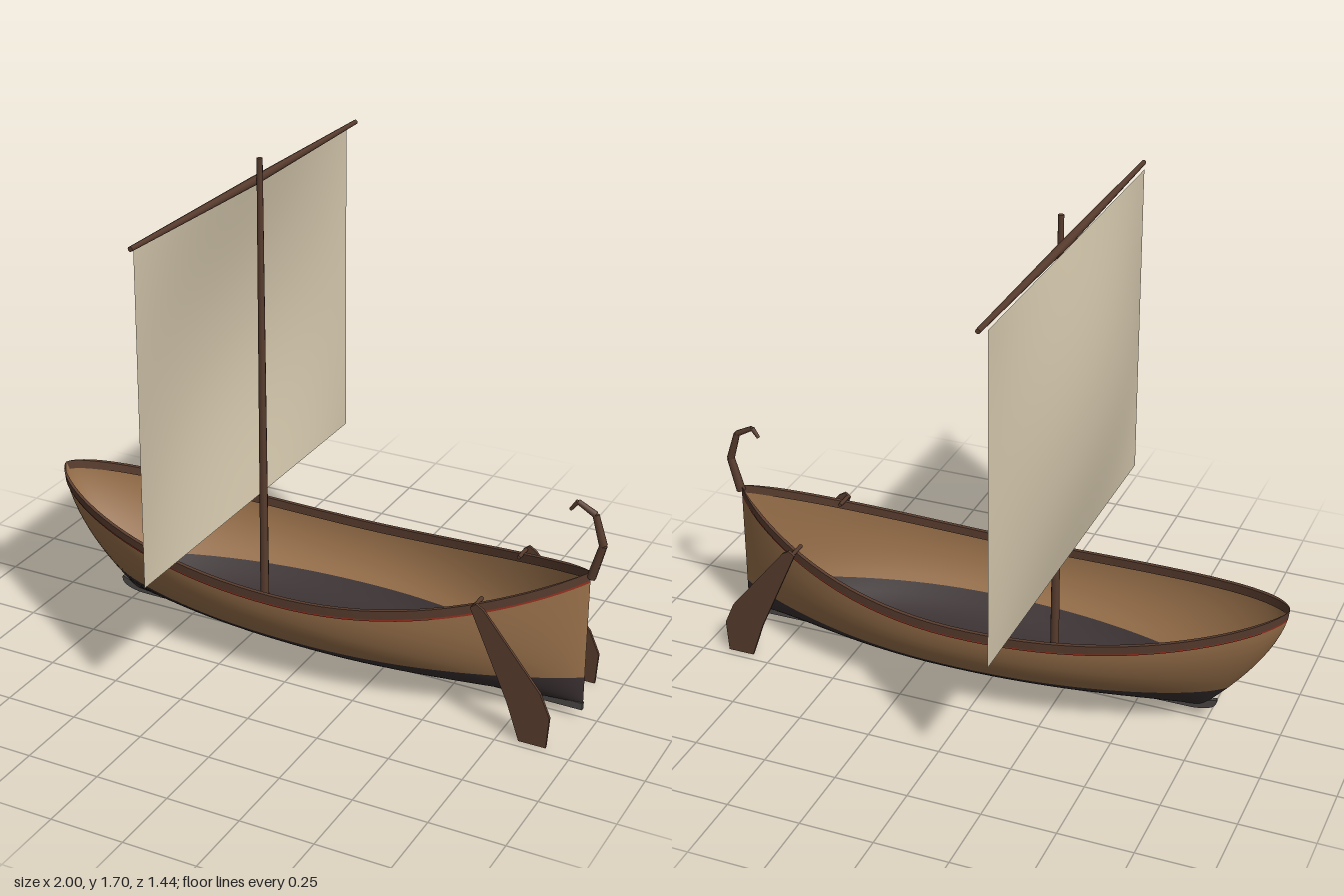
import * as THREE from 'three';

const flat = (name, color) => {
  const m = new THREE.MeshStandardMaterial({ color, side: THREE.DoubleSide });
  m.name = name;
  return m;
};

export function createModel() {
  const planks = flat('plank brown', 0x98704a);
  const tar = flat('tarred black', 0x3a3031);
  const wood = flat('dark wood', 0x583c2e);
  const red = flat('red trim', 0x97301f);
  const canvas = flat('sail canvas', 0xd6c9ae);
  const keelGrey = flat('keel grey', 0x4c4747);

  const model = new THREE.Group();
  model.name = 'sailingBoat';
  const add = (name, geometry, material, parent = model) => {
    const mesh = new THREE.Mesh(geometry, material);
    mesh.name = name;
    parent.add(mesh);
    return mesh;
  };

  // Grid surface: point(u, v) gives a Vector3 for u and v in 0..1
  const surface = (point, nu, nv) => {
    const pos = [], idx = [];
    for (let j = 0; j <= nv; j++)
      for (let i = 0; i <= nu; i++) pos.push(...point(i / nu, j / nv).toArray());
    for (let j = 0; j < nv; j++)
      for (let i = 0; i < nu; i++) {
        const a = j * (nu + 1) + i, b = a + nu + 1;
        idx.push(a, a + 1, b, a + 1, b + 1, b);
      }
    const g = new THREE.BufferGeometry();
    g.setAttribute('position', new THREE.Float32BufferAttribute(pos, 3));
    g.setIndex(idx);
    g.computeVertexNormals();
    return g;
  };

  // Tapered round bar between two points
  const bar = (a, b, ra, rb, sides = 8) => {
    const p = new THREE.Vector3(...a), q = new THREE.Vector3(...b);
    const d = q.clone().sub(p);
    const g = new THREE.CylinderGeometry(rb, ra, d.length(), sides);
    g.applyQuaternion(new THREE.Quaternion().setFromUnitVectors(
      new THREE.Vector3(0, 1, 0), d.normalize()));
    return g.translate(...p.add(q).multiplyScalar(0.5).toArray());
  };

  // Hull lines: bow at -x, stern at +x
  const BOTTOM = 0.05, STERN = 0.95, WATER = 0.15;
  const ease = u => (1 - Math.cos(Math.PI * u)) / 2;
  const sheerX = s => -1 + (1 + STERN) * s;
  const sheerY = s => {
    const x = sheerX(s);
    return 0.35 + (x < 0 ? 0.13 : 0.2) * x * x;
  };
  const beam = s => {
    const x = sheerX(s);
    const q = Math.min(1, x < 0 ? -x : x / STERN);
    return 0.305 * Math.pow(Math.max(0, 1 - Math.pow(q, 2.2)), x < 0 ? 0.65 : 0.87);
  };
  const hullPoint = (s, y, side, out = 0) => {
    const t = THREE.MathUtils.clamp((y - BOTTOM) / (sheerY(s) - BOTTOM), 0, 1);
    const stem = -1 + 0.27 * Math.pow(1 - t, 1.6);
    const w = beam(s) * Math.sqrt(1 - Math.pow(1 - t, 2.2));
    return new THREE.Vector3(THREE.MathUtils.lerp(stem, STERN, s), y,
      side * (w + out * Math.min(1, beam(s) * 12)));
  };

  const hull = new THREE.Group();
  hull.name = 'hull';
  model.add(hull);
  for (const side of [1, -1]) {
    const label = side > 0 ? 'Front' : 'Back';
    // Direction of travel flips with the side so the faces point outwards
    const along = u => ease(side > 0 ? u : 1 - u);
    add('bottom' + label, surface((u, v) =>
      hullPoint(along(u), BOTTOM + (WATER - BOTTOM) * v * v, side), 48, 10), tar, hull);
    add('topside' + label, surface((u, v) => {
      const s = along(u);
      return hullPoint(s, THREE.MathUtils.lerp(WATER, sheerY(s), v), side);
    }, 48, 10), planks, hull);
    add('redTrim' + label, surface((u, v) => {
      const s = along(u);
      return hullPoint(s, sheerY(s) - 0.038 + 0.009 * v, side, 0.004);
    }, 48, 1), red, hull);
    // Rail: outer face, cap and inner face
    const rim = [[0.007, 0.03], [0.007, 0], [-0.007, 0], [-0.007, 0.03]];
    for (let k = 0; k < 3; k++)
      add('rail' + label, surface((u, v) => {
        const s = along(u), [o, d] = rim[k + v];
        return hullPoint(s, sheerY(s) - d, side, o);
      }, 48, 1), wood, hull);
  }

  // Keel
  const keelShape = new THREE.Shape();
  keelShape.moveTo(-0.78, 0.085);
  keelShape.quadraticCurveTo(-0.79, 0.045, -0.7, 0.037);
  keelShape.lineTo(0.95, 0.03);
  keelShape.lineTo(0.95, 0.055);
  keelShape.lineTo(-0.7, 0.06);
  add('keel', new THREE.ExtrudeGeometry(keelShape, { depth: 0.014, bevelEnabled: false })
    .translate(0, 0, -0.007), keelGrey);

  // Mast and yard
  add('mast', bar([-0.21, 0.052, 0], [-0.21, 1.7, 0], 0.016, 0.01), wood);
  for (const side of [1, -1])
    add('yard', bar([-0.235, 1.62, 0], [-0.235, 1.625, side * 0.72], 0.015, 0.008), wood);

  // Square sail, bellied towards the bow
  add('sail', surface((u, v) => {
    const k = 2 * u - 1;
    return new THREE.Vector3(-0.25 - 0.07 * Math.sin(Math.PI * v) * (1 - k * k),
      0.505 + 1.11 * v, k * (0.69 - 0.01 * v));
  }, 20, 20), canvas);

  // Steering oars on both quarters, each with a peg
  const oarShape = new THREE.Shape([
    [0.64, 0.435], [0.66, 0.45], [0.685, 0.435], [0.885, 0.19], [0.92, 0.11], [0.912, 0], [0.82, 0], [0.775, 0.13],
  ].map(p => new THREE.Vector2(...p)));
  const oarGeometry = new THREE.ExtrudeGeometry(oarShape, { depth: 0.01, bevelEnabled: false });
  for (const side of [1, -1]) {
    const oar = add('steeringOar', oarGeometry, wood);
    oar.position.z = side * 0.217 - 0.005;
    add('oarPeg', bar([0.65, 0.435, side * 0.15], [0.65, 0.435, side * 0.222], 0.007, 0.007, 6), wood);
  }

  // Curled stern post
  const curl = [[0.952, 0.51], [0.985, 0.63], [0.955, 0.73], [0.895, 0.762], [0.872, 0.73]];
  for (let i = 0; i < 4; i++)
    add('sternCurl', bar([...curl[i], 0], [...curl[i + 1], 0],
      0.016 - 0.0025 * i, 0.0135 - 0.0025 * i, 6), wood);

  return model;
}
